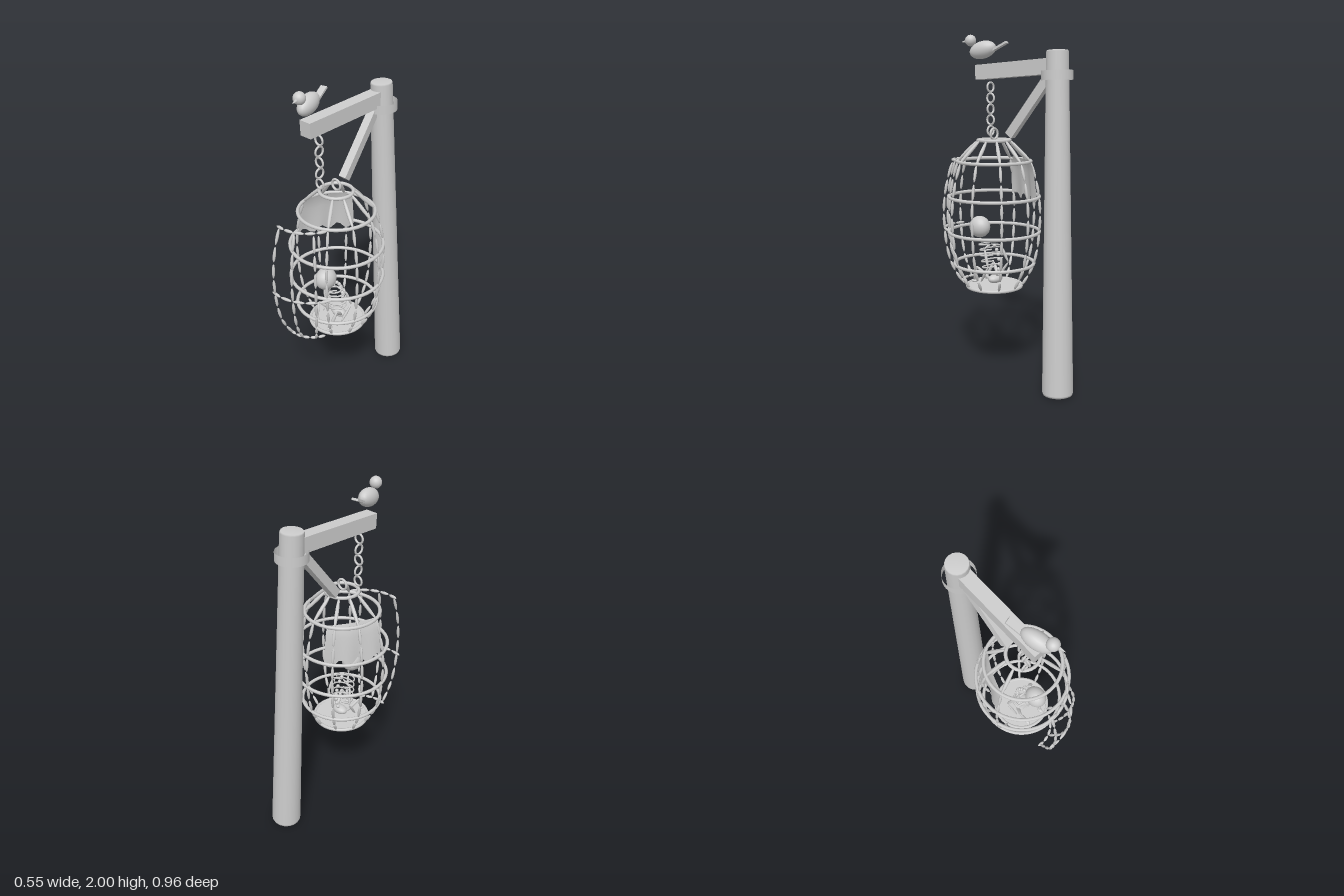
import * as THREE from 'three';

const mat = new THREE.MeshStandardMaterial({ color: 0xcccccc, roughness: 0.8 });
const matDouble = new THREE.MeshStandardMaterial({ color: 0xcccccc, roughness: 0.8, side: THREE.DoubleSide });
const V = (x, y, z) => new THREE.Vector3(x, y, z);
const UP = V(0, 1, 0);

function add(parent, name, geo, pos = V(0, 0, 0), material = mat) {
  const m = new THREE.Mesh(geo, material);
  m.name = name;
  m.position.copy(pos);
  parent.add(m);
  return m;
}
// Place a y-aligned geometry so that it runs from a to b
function span(parent, name, geo, a, b) {
  const m = add(parent, name, geo, a.clone().lerp(b, 0.5));
  m.quaternion.setFromUnitVectors(UP, b.clone().sub(a).normalize());
  return m;
}
// Stretched sphere, pointed at both ends; fill below 1 leaves gaps between neighbours
const spindle = (p, name, a, b, r = 0.009, fill = 1) =>
  span(p, name, new THREE.SphereGeometry(1, 8, 8).scale(r, a.distanceTo(b) / 2 * fill, r), a, b);
function ball(p, name, pos, rx, ry = rx, rz = rx) {
  return add(p, name, new THREE.SphereGeometry(1, 20, 14).scale(rx, ry, rz), pos);
}
function group(parent, name) {
  const g = new THREE.Group();
  g.name = name;
  parent.add(g);
  return g;
}

// Cage outline: height and radius of each hoop, top to bottom
const HOOPS = [[1.4, 0.092], [1.28, 0.212], [1.075, 0.262], [0.87, 0.264], [0.68, 0.233], [0.545, 0.16]];
const CX = 0.003, CZ = 0.088;
const rad = THREE.MathUtils.degToRad;
const polar = (cx, cz, deg, r, y) => V(cx + r * Math.cos(rad(deg)), y, cz + r * Math.sin(rad(deg)));

// Upright bar: one spindle at the shoulder, then two between each pair of hoops
function bar(parent, cx, cz, deg, first, drop = 0) {
  for (let i = first; i < HOOPS.length - 1; i++) {
    const [y0, r0] = HOOPS[i], [y1, r1] = HOOPS[i + 1];
    const a = polar(cx, cz, deg, r0, y0 - drop), b = polar(cx, cz, deg, r1, y1 - drop);
    if (i === 0) {
      spindle(parent, 'shoulderBar', a, b, 0.011, 1.05);
      continue;
    }
    const m = polar(cx, cz, deg, (r0 + r1) / 2 + 0.006, (y0 + y1) / 2 - drop);
    spindle(parent, 'barSegment', a, m, 0.009, 0.9);
    spindle(parent, 'barSegment', m, b, 0.009, 0.9);
  }
}

function buildGallows(root) {
  const g = group(root, 'gallows');
  // Post with softly shaded ends
  const foot = V(0.005, 0.002, -0.39), top = V(-0.052, 1.89, -0.317);
  const h = foot.distanceTo(top) / 2;
  const profile = [[0, -h], [0.083, -h], [0.087, -h + 0.012], [0.061, h - 0.008], [0.057, h], [0, h]];
  span(g, 'post', new THREE.LatheGeometry(profile.map(([x, y]) => new THREE.Vector2(x, y)), 18), foot, top);
  const collar = add(g, 'collar', new THREE.CylinderGeometry(0.086, 0.086, 0.05, 28, 1, true),
    V(-0.047, 1.76, -0.32), matDouble);
  collar.rotation.x = 0.03;
  const beam = add(g, 'beam', new THREE.BoxGeometry(0.074, 0.084, 0.56), V(-0.05, 1.797, -0.03));
  beam.rotation.x = 0.045;
  const a = V(-0.05, 1.745, -0.26), b = V(-0.03, 1.43, -0.005);
  span(g, 'brace', new THREE.BoxGeometry(0.045, a.distanceTo(b), 0.05), a, b);
}

function buildChain(root) {
  const g = group(root, 'chain');
  for (let i = 0; i < 5; i++) {
    const link = add(g, 'chainLink', new THREE.TorusGeometry(0.027, 0.006, 8, 18), V(-0.047, 1.7 - i * 0.0625, 0.16));
    link.rotation.y = i % 2 ? Math.PI / 2 : 0;
  }
}

function buildCage(root) {
  const g = group(root, 'cage');
  HOOPS.forEach(([y, r]) => {
    add(g, 'hoop', new THREE.TorusGeometry(r, 0.01, 8, 48).rotateX(Math.PI / 2), V(CX, y, CZ));
  });
  add(g, 'floor', new THREE.CylinderGeometry(0.155, 0.143, 0.018, 36), V(CX, 0.54, CZ));
  add(g, 'hangingLoop', new THREE.TorusGeometry(0.03, 0.007, 8, 20), V(CX, 1.437, CZ));
  for (let i = 0; i < 8; i++) bar(g, CX, CZ, 57 - i * 36, 0);

  // Door swung outward: same curve about a shifted centre
  const door = group(g, 'openDoor');
  const dx = -0.074, dz = 0.205;
  for (const deg of [40, 68, 96]) bar(door, dx, dz, deg, 1, 0.01);
  for (const i of [1, 3, 5]) {
    const [y, r] = HOOPS[i];
    for (let k = 0; k < 5; k++) {
      spindle(door, 'doorRail', polar(dx, dz, 20 + k * 16.5, r, y - 0.002 * k),
        polar(dx, dz, 36.5 + k * 16.5, r, y - 0.002 * (k + 1)), 0.009, 0.95);
    }
  }
}

// Torn cloth stretched nearly flat across the cage's right side
function buildCloth(root) {
  const cols = 14, rows = 6, half = 42;
  const geo = new THREE.PlaneGeometry(1, 1, cols, rows);
  const p = geo.attributes.position;
  for (let i = 0; i < p.count; i++) {
    const u = p.getX(i), t = 0.5 - p.getY(i);
    const deg = u * 2 * half;
    const flat = 0.25 + 0.75 * Math.cos(rad(half)) / Math.cos(rad(deg));
    const fold = 0.008 * Math.sin(u * 14) * t;
    const ragged = 0.02 * Math.sin(u * 19);
    const v = polar(CX, CZ, 206 + deg, (0.214 + 0.04 * Math.sqrt(t)) * flat + fold, 1.29 - t * (0.23 + ragged));
    p.setXYZ(i, v.x, v.y, v.z);
  }
  geo.computeVertexNormals();
  add(root, 'cloth', geo, V(0, 0, 0), matDouble);
}

// Skeleton slumped on the cage floor
function buildSkeleton(root) {
  const g = group(root, 'skeleton');
  ball(g, 'skull', V(0.016, 0.885, 0.192), 0.057, 0.064, 0.066);
  ball(g, 'pelvis', V(0.005, 0.585, 0.08), 0.05, 0.026, 0.035);
  const spine = new THREE.QuadraticBezierCurve3(V(0.005, 0.58, 0.075), V(0.005, 0.72, 0.01), V(0.012, 0.81, 0.1));
  spine.getPoints(8).forEach((q) => ball(g, 'vertebra', q, 0.011));
  for (let i = 0; i < 5; i++) {
    const q = spine.getPoint(0.3 + i * 0.15);
    const r = 0.058 + 0.012 * Math.sin((i + 1) * 0.6);
    const rib = add(g, 'rib', new THREE.TorusGeometry(r, 0.005, 6, 24, 5.2).rotateZ(-1.03).rotateX(Math.PI / 2),
      V(q.x, q.y, q.z + r * 0.8));
    rib.scale.z = 0.8;
    rib.rotation.x = 0.15;
  }
  for (const s of [-1, 1]) {
    const shoulder = V(0.01 + s * 0.07, 0.775, 0.095), elbow = V(s * 0.09, 0.67, 0.06), hand = V(s * 0.075, 0.57, 0.13);
    spindle(g, 'collarBone', V(0.012, 0.79, 0.11), shoulder, 0.007);
    spindle(g, 'upperArm', shoulder, elbow, 0.009);
    spindle(g, 'forearm', elbow, hand, 0.008);
    const hip = V(s * 0.035, 0.58, 0.085), knee = V(s * 0.075, 0.66, 0.165), foot = V(s * 0.055, 0.56, 0.205);
    spindle(g, 'thigh', hip, knee, 0.011);
    spindle(g, 'shin', knee, foot, 0.01);
    ball(g, 'foot', foot, 0.012, 0.009, 0.02);
  }
}

function buildBird(root) {
  const g = group(root, 'bird');
  g.position.set(-0.05, 1.912, 0.222);
  g.rotation.y = 0.27;
  ball(g, 'body', V(0, 0, 0), 0.044, 0.05, 0.085).rotation.x = 0.22;
  ball(g, 'head', V(0, 0.055, 0.08), 0.033);
  const beak = add(g, 'beak', new THREE.ConeGeometry(0.011, 0.04, 8).rotateX(Math.PI / 2), V(0, 0.05, 0.124));
  beak.rotation.x = 0.1;
  const tail = add(g, 'tail', new THREE.BoxGeometry(0.036, 0.012, 0.11), V(0, 0.015, -0.105));
  tail.rotation.x = 0.45;
}

export function createModel() {
  const root = new THREE.Group();
  root.name = 'gibbetCage';
  [buildGallows, buildChain, buildCage, buildCloth, buildSkeleton, buildBird].forEach((build) => build(root));
  return root;
}
